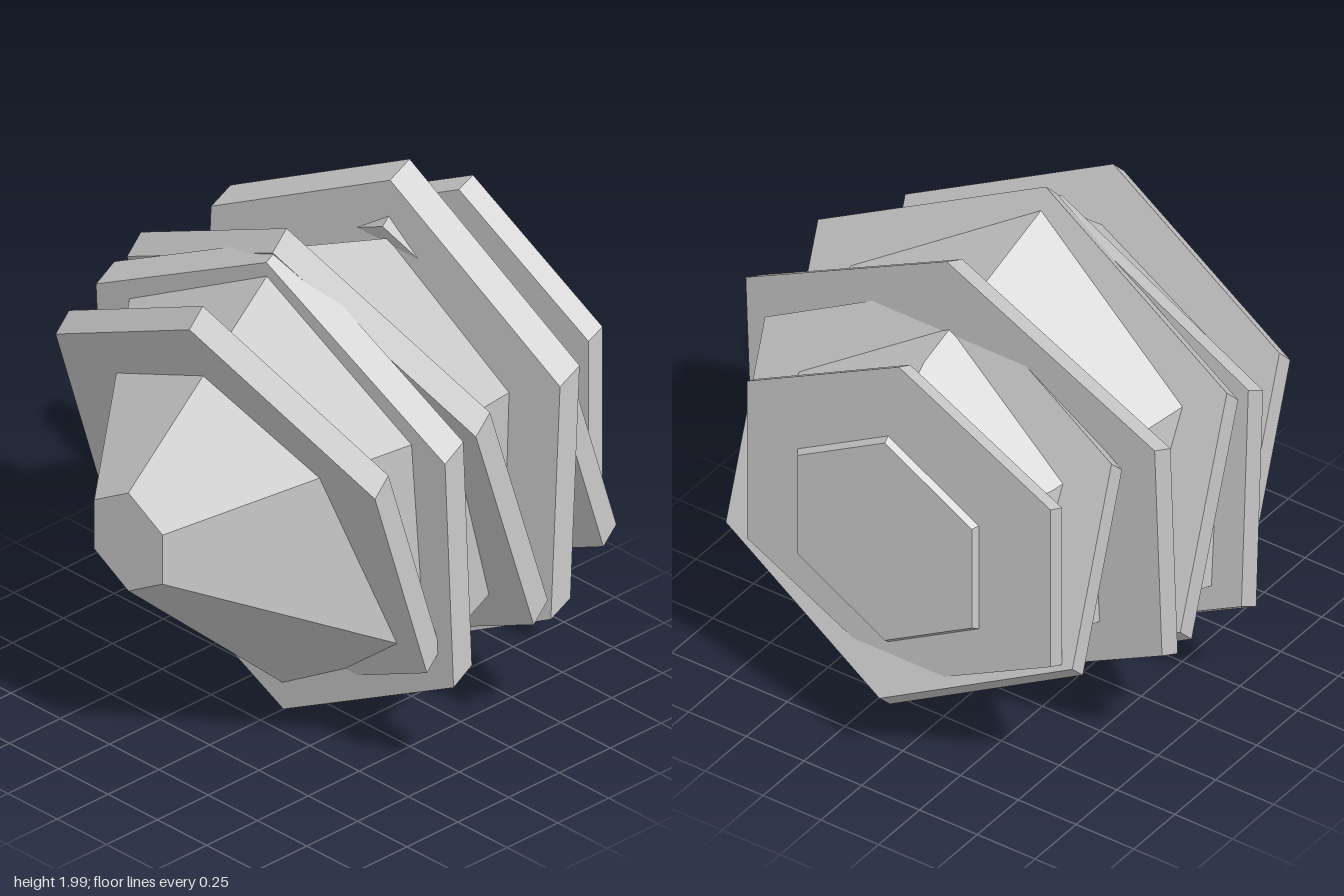
import * as THREE from 'three';

const material = new THREE.MeshStandardMaterial({ color: 0xcccccc, flatShading: true });

function addMesh(group, geometry, name) {
  const mesh = new THREE.Mesh(geometry, material);
  mesh.name = name;
  group.add(mesh);
}

// Six-sided core, turned around the z axis with a corner pointing up
function coreGeometry() {
  const profile = [[0, -0.86], [0.435, -0.86], [0.645, -0.62], [0.89, 0.13], [0.2, 0.9], [0, 0.9]];
  const geometry = new THREE.LatheGeometry(profile.map(([r, z]) => new THREE.Vector2(r, z)), 6);
  geometry.rotateX(Math.PI / 2);
  geometry.translate(0, 0.995, 0);
  return geometry;
}

// Slanted hexagonal plate.
// center: middle of the front face; up: [y, z] from there to its top corner;
// depth: [y, z] from the front face to the back face; halfWidth: reach in x
function plateGeometry({ center, up, depth, halfWidth }) {
  const geometry = new THREE.CylinderGeometry(1, 1, 1, 6).toNonIndexed();
  geometry.translate(0, 0.5, 0);
  const matrix = new THREE.Matrix4().makeBasis(
    new THREE.Vector3(halfWidth / Math.cos(Math.PI / 6), 0, 0),
    new THREE.Vector3(0, ...depth),
    new THREE.Vector3(0, ...up)
  ).setPosition(...center);
  geometry.applyMatrix4(matrix);
  return geometry;
}

// Plates from front to back
const plates = [
  { name: 'frontTiltedPlate', center: [0, 0.928, 0.345], up: [0.812, 0.255], depth: [0.07, -0.066], halfWidth: 0.81 },
  { name: 'frontUprightPlate', center: [0, 0.934, 0.18], up: [0.928, 0.042], depth: [0.055, -0.09], halfWidth: 0.885 },
  { name: 'middleTiltedPlate', center: [0, 1.008, -0.093], up: [0.881, 0.284], depth: [0.072, -0.069], halfWidth: 0.885 },
  { name: 'rearUprightPlate', center: [0, 1.021, -0.342], up: [0.931, -0.045], depth: [0.048, -0.096], halfWidth: 0.885 },
  { name: 'rearTiltedPlate', center: [0, 1.019, -0.589], up: [0.759, 0.239], depth: [0.064, -0.064], halfWidth: 0.75 },
  { name: 'backPlate', center: [-0.046, 1.048, -0.77], up: [0.692, 0], depth: [0.032, -0.069], halfWidth: 0.657 },
];

export function createModel() {
  const group = new THREE.Group();
  group.name = 'platedHexagonalBody';
  addMesh(group, coreGeometry(), 'core');
  for (const plate of plates) addMesh(group, plateGeometry(plate), plate.name);
  return group;
}
